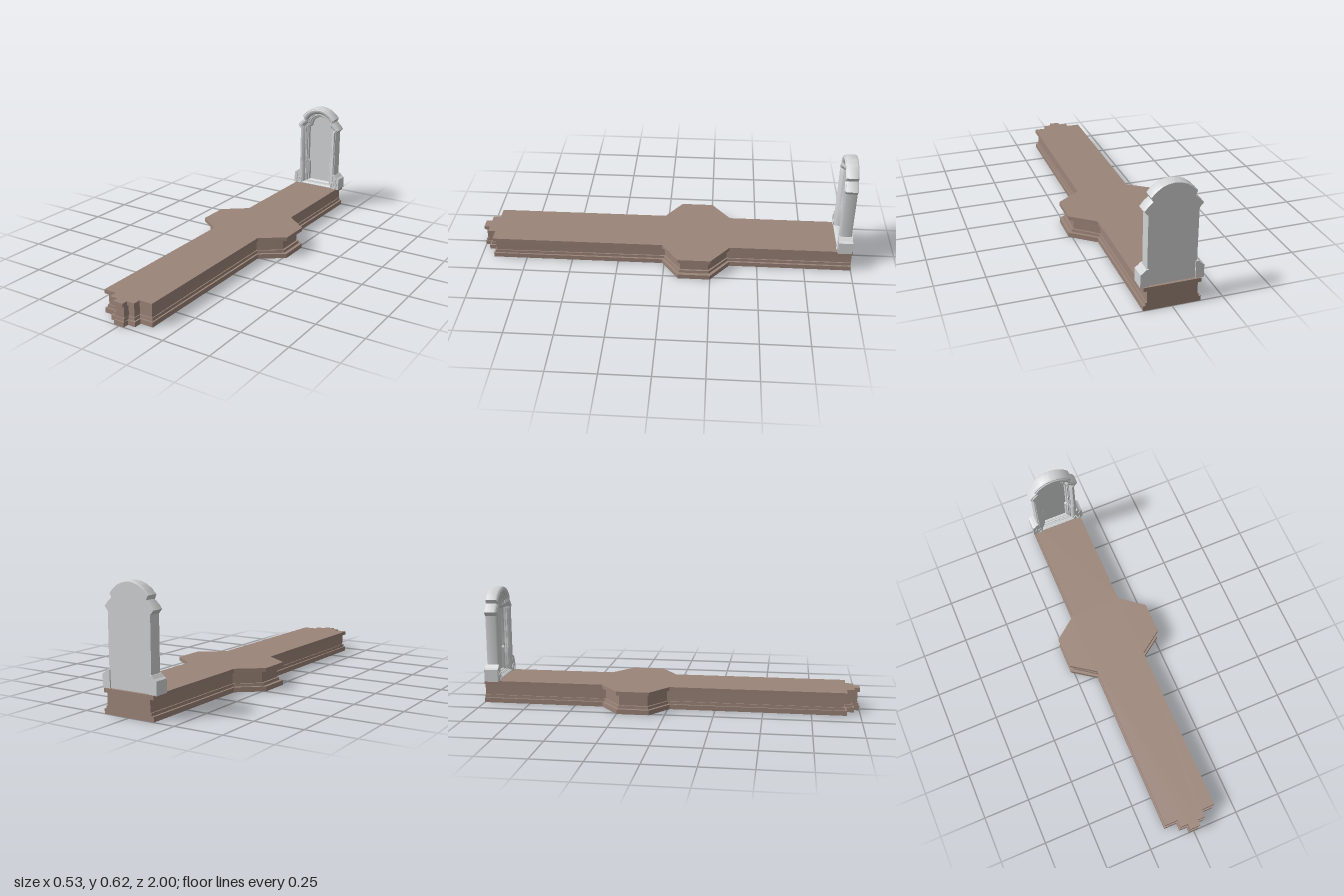
import * as THREE from 'three';
import { toCreasedNormals } from 'three/addons/utils/BufferGeometryUtils.js';

// Closed rings [[x,y,z],...] joined in order; flat caps where asked
function loft(rings, flat, capFirst, capLast) {
  const pos = [];
  const n = rings[0].length;
  const tri = (...ps) => ps.forEach((p) => pos.push(...p));
  for (let k = 0; k < rings.length - 1; k++) {
    for (let i = 0; i < n; i++) {
      const j = (i + 1) % n;
      const a = rings[k][i], b = rings[k][j], c = rings[k + 1][j], d = rings[k + 1][i];
      tri(a, b, c);
      tri(a, c, d);
    }
  }
  const cap = (ring, back) => {
    const faces = THREE.ShapeUtils.triangulateShape(ring.map((p) => new THREE.Vector2(...flat(p))), []);
    for (const [a, b, c] of faces) back ? tri(ring[a], ring[c], ring[b]) : tri(ring[a], ring[b], ring[c]);
  };
  if (capFirst) cap(rings[0], true);
  if (capLast) cap(rings[rings.length - 1], false);
  const g = new THREE.BufferGeometry();
  g.setAttribute('position', new THREE.Float32BufferAttribute(pos, 3));
  return toCreasedNormals(g, 0.6);
}

const mix = (a, b, t) => a.map((p, i) => [p[0] + (b[i][0] - p[0]) * t, p[1] + (b[i][1] - p[1]) * t]);

export function createModel() {
  const model = new THREE.Group();
  const brown = new THREE.MeshStandardMaterial({ color: 0x9b8478, side: THREE.DoubleSide });
  brown.name = 'brownStone';
  const grey = new THREE.MeshStandardMaterial({ color: 0xd2d3d4 });
  grey.name = 'greyStone';
  const add = (name, geometry, material, parent = model) => {
    const mesh = new THREE.Mesh(geometry, material);
    mesh.name = name;
    parent.add(mesh);
    return mesh;
  };

  // Plinth: half plans [x, z] from back to front, for the lips and for the neck
  const lip = [[0.14, -1], [0.14, -0.35], [0.267, -0.25], [0.267, -0.08], [0.14, 0.01],
    [0.14, 0.93], [0.07, 0.93], [0.07, 0.97], [0.028, 0.97], [0.028, 1]];
  const neck = [[0.122, -1], [0.122, -0.335], [0.237, -0.24], [0.237, -0.09], [0.122, -0.005],
    [0.127, 0.915], [0.057, 0.915], [0.057, 0.955], [0.024, 0.955], [0.024, 0.988]];
  const plinthLevels = [[0, 0], [0.025, 0], [0.025, 0.6], [0.04, 0.65], [0.04, 1],
    [0.1, 1], [0.1, 0], [0.12, 0]];
  const plinthRings = plinthLevels.map(([y, t]) => {
    const half = mix(lip, neck, t);
    return [...half.map(([x, z]) => [-x, y, z]), ...half.slice().reverse().map(([x, z]) => [x, y, z])];
  });
  // Open underneath, closed on top
  add('plinth', loft(plinthRings, (p) => [p[0], -p[2]], false, true), brown);

  // Headstone: half outlines [x, y] from bottom centre to crown
  const outer = [[0, 0.115], [0.122, 0.115], [0.122, 0.25], [0.122, 0.265], [0.122, 0.472],
    [0.141, 0.494], [0.122, 0.517], [0.1, 0.536], [0.11, 0.557], [0.088, 0.58], [0.06, 0.6],
    [0.03, 0.611], [0, 0.615]];
  const inner = [[0, 0.145], [0.064, 0.145], [0.064, 0.262], [0.073, 0.272], [0.073, 0.475],
    [0.07, 0.484], [0.062, 0.488], [0.055, 0.495], [0.052, 0.514], [0.044, 0.53], [0.03, 0.542],
    [0.015, 0.548], [0, 0.55]];
  // Frame moulding: [blend towards the opening, z]
  const frameSteps = [[0.06, -0.986], [0, -0.98], [0, -0.932], [0.06, -0.923], [0.12, -0.923],
    [0.2, -0.919], [0.32, -0.919], [0.45, -0.924], [0.58, -0.936], [0.66, -0.936], [0.68, -0.943],
    [0.78, -0.943], [0.82, -0.952], [0.92, -0.954], [1, -0.966]];
  const stoneRings = frameSteps.map(([t, z]) => {
    const half = mix(outer, inner, t);
    const left = half.slice(1, -1).reverse().map(([x, y]) => [-x, y, z]);
    return [...half.map(([x, y]) => [x, y, z]), ...left];
  });
  add('headstone', loft(stoneRings, (p) => [p[0], p[1]], true, true), grey);

  // Scroll brackets at the foot of the headstone
  for (const side of [1, -1]) {
    const bracket = new THREE.Group();
    bracket.name = side > 0 ? 'leftBracket' : 'rightBracket';
    model.add(bracket);
    const pts = [[0.112, 0.118], [0.153, 0.118], [0.153, 0.184], [0.14, 0.192], [0.125, 0.207], [0.112, 0.207]];
    const shape = new THREE.Shape(pts.map(([x, y]) => new THREE.Vector2(side * x, y)));
    const body = new THREE.ExtrudeGeometry(shape, { depth: 0.074, bevelEnabled: false });
    body.translate(0, 0, -0.993);
    add('bracketBody', body, grey, bracket);

    // Raised volute on the front face
    const path = [[0.141, 0.188], [0.132, 0.178], [0.135, 0.16], [0.138, 0.142], [0.128, 0.125],
      [0.112, 0.122], [0.103, 0.135], [0.106, 0.152], [0.117, 0.157], [0.122, 0.146], [0.115, 0.139]];
    const curve = new THREE.CatmullRomCurve3(path.map(([x, y]) => new THREE.Vector3(side * x, y, -0.918)));
    add('volute', new THREE.TubeGeometry(curve, 40, 0.004, 6), grey, bracket);
  }
  return model;
}
